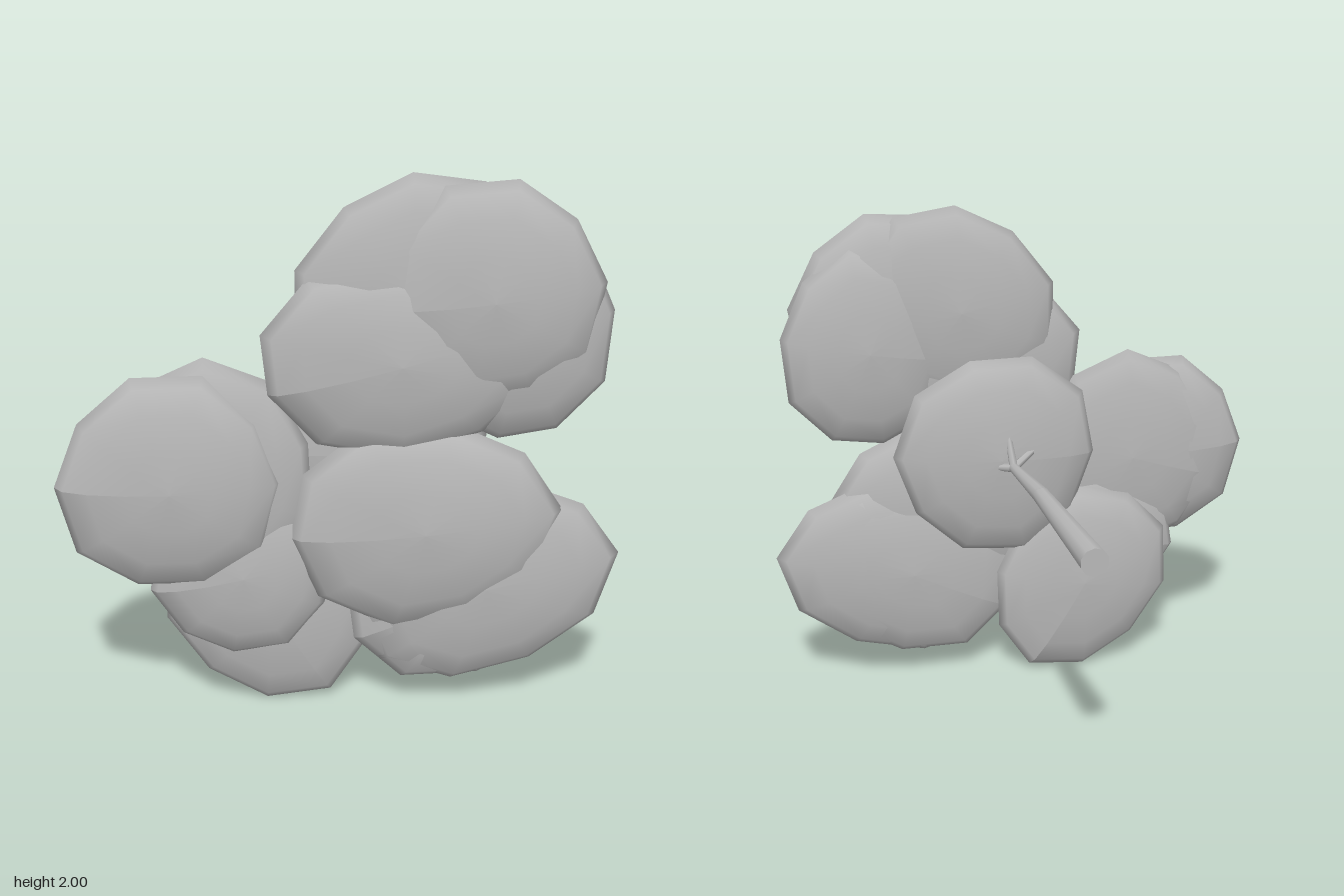
import * as THREE from 'three';

const grey = new THREE.MeshStandardMaterial({ color: 0xb8b8b8 });
grey.name = 'grey';

// Lens-shaped leaf pad: a flattened ball with an irregular ten-sided oval outline.
// rx, ry are the half axes, tilt turns the oval, phase shifts its corners.
function leafPad(name, x, y, z, rx, ry, depth, tilt, phase) {
  const geometry = new THREE.SphereGeometry(1, 10, 8).rotateX(Math.PI / 2);
  const p = geometry.attributes.position;
  for (let i = 0; i < p.count; i++) {
    const a = Math.atan2(p.getY(i), p.getX(i)) + phase;
    const r = Math.hypot(p.getX(i), p.getY(i)) * (1.02 + 0.035 * Math.sin(3 * a + 5 * x));
    p.setXYZ(i, rx * r * Math.cos(a), ry * r * Math.sin(a), depth * p.getZ(i));
  }
  geometry.computeVertexNormals();
  const mesh = new THREE.Mesh(geometry, grey);
  mesh.position.set(x, y, z);
  mesh.rotation.z = tilt;
  mesh.name = name;
  return mesh;
}

// Tapered round limb between two points.
function limb(name, from, to, r0, r1, sides) {
  const a = new THREE.Vector3(...from), b = new THREE.Vector3(...to);
  const d = b.clone().sub(a);
  const mesh = new THREE.Mesh(new THREE.CylinderGeometry(r1, r0, d.length(), sides), grey);
  mesh.position.copy(a).add(b).multiplyScalar(0.5);
  mesh.quaternion.setFromUnitVectors(new THREE.Vector3(0, 1, 0), d.normalize());
  mesh.name = name;
  return mesh;
}

export function createModel() {
  const model = new THREE.Group();
  model.name = 'tree';

  // Foliage: x, y, z, half width, half height, half depth, tilt, phase
  const pads = [
    ['upperRightPad', 0.5, 1.58, 0.635, 0.39, 0.4, 0.108, 0, 0.1],
    ['upperLeftPad', 0.19, 1.36, 0.632, 0.49, 0.35, 0.1, 0, 0.35],
    ['upperBackPad', 0.23, 1.59, 0.6, 0.43, 0.38, 0.095, 0.9, 0.1],
    ['rightBackPad', 0.6, 1.45, 0.6, 0.34, 0.41, 0.1, 0, 0.15],
    ['leftPad', -0.61, 0.92, 0.627, 0.39, 0.4, 0.107, 0, 0],
    ['leftBackPad', -0.49, 0.92, 0.59, 0.39, 0.43, 0.085, 0, 0.3],
    ['lowerFrontPad', 0.28, 0.74, 0.63, 0.48, 0.39, 0.107, 0, 0.1],
    ['lowerRightPad', 0.51, 0.5, 0.6, 0.48, 0.37, 0.09, 0.3, -0.15],
    ['lowerRightBackPad', 0.45, 0.49, 0.59, 0.46, 0.36, 0.085, 0.4, 0.1],
    ['lowerLeftPad', -0.36, 0.56, 0.575, 0.32, 0.33, 0.09, 0, 0.2],
    ['lowestPad', -0.26, 0.41, 0.505, 0.42, 0.36, 0.085, 2.1, 0],
    ['centrePad', 0.1, 1, 0.49, 0.41, 0.42, 0.1, 0, 0.05],
  ];
  for (const pad of pads) model.add(leafPad(...pad));

  // Trunk in two slightly bent lengths
  const bend = [0.052, 1.01, -0.05], fork = [0.06, 0.98, 0.36];
  model.add(limb('trunkBase', [0.045, 1.02, -0.74], bend, 0.053, 0.034, 10));
  model.add(limb('trunkTop', bend, fork, 0.034, 0.02, 10));

  // Short branches fanning out of the fork
  for (const tip of [[-0.05, 1.04, 0.42], [0.13, 0.97, 0.42], [0.07, 1.1, 0.41], [-0.17, 0.68, 0.45]]) {
    model.add(limb('branch', fork, tip, 0.018, 0.013, 6));
  }
  return model;
}
